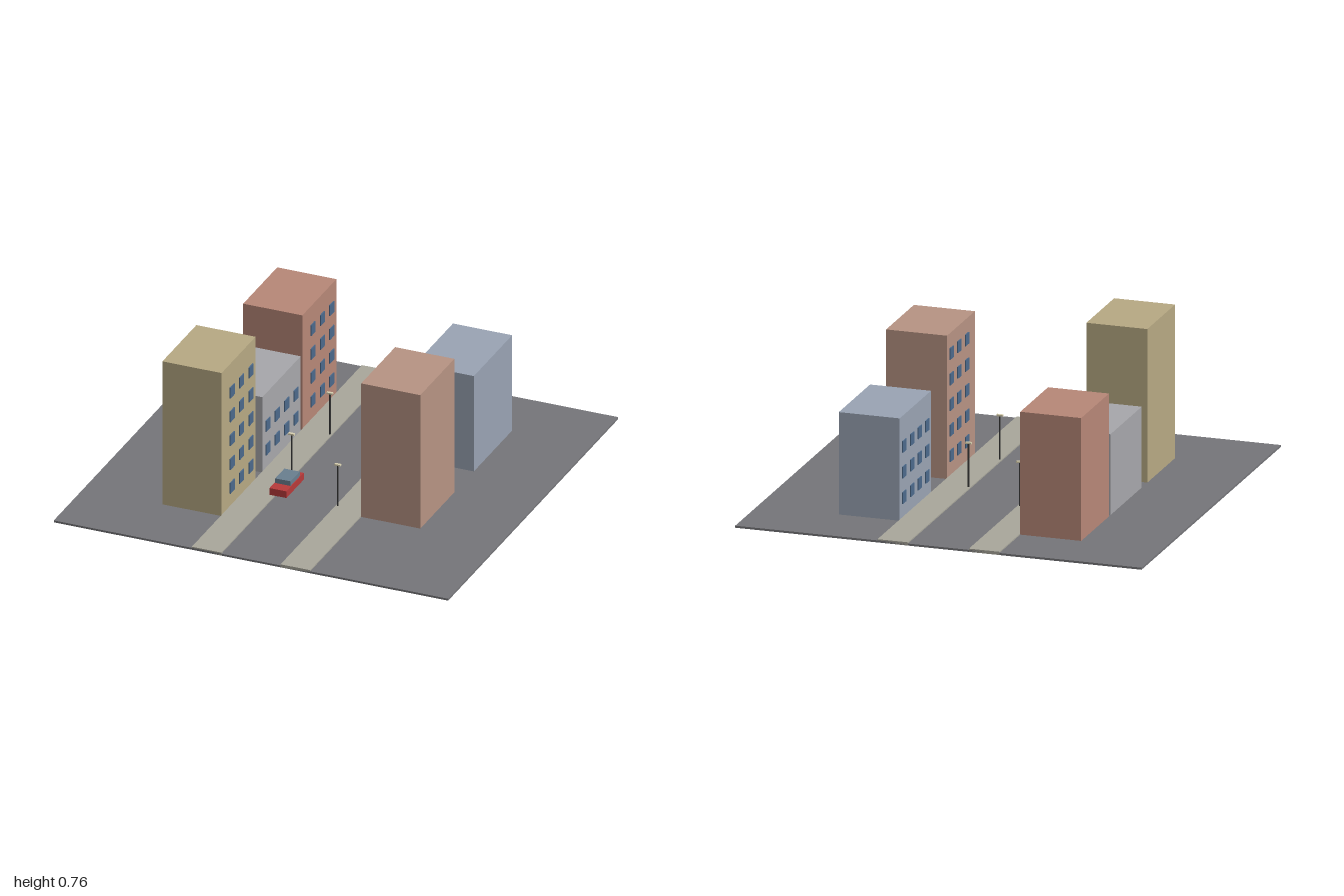
import * as THREE from 'three';

const mat = (color) => new THREE.MeshStandardMaterial({ color });
const windowMat = mat(0x4c6a8c);
const lampMat = mat(0x333333);

// Box given by its size, centre in x and z, and bottom height
function block(name, [w, h, d], [x, bottom, z], material) {
  const mesh = new THREE.Mesh(new THREE.BoxGeometry(w, h, d), material);
  mesh.position.set(x, bottom + h / 2, z);
  mesh.name = name;
  return mesh;
}

const GROUND = 0.01;

// Plain tower with a grid of windows on the side facing the street
function building(side, z0, z1, height, color) {
  const group = new THREE.Group();
  group.name = 'building';
  group.add(block('walls', [0.3, height, z1 - z0], [side * 0.45, GROUND, (z0 + z1) / 2], mat(color)));
  for (let y = 0.11; y < height - 0.08; y += 0.125) {
    for (let z = z0 + 0.06; z < z1 - 0.04; z += 0.11) {
      group.add(block('window', [0.01, 0.056, 0.05], [side * 0.3, y - 0.028, z], windowMat));
    }
  }
  return group;
}

// Thin pole with a flat head
function streetLamp(x, z) {
  const group = new THREE.Group();
  group.name = 'streetLamp';
  const pole = new THREE.Mesh(new THREE.CylinderGeometry(0.004, 0.004, 0.22, 8), lampMat);
  pole.position.set(x, GROUND + 0.11, z);
  pole.name = 'lampPole';
  group.add(pole, block('lampHead', [0.03, 0.008, 0.014], [x, 0.227, z], mat(0xd8d0b0)));
  return group;
}

export function createModel() {
  const model = new THREE.Group();
  model.name = 'cityStreet';

  // Ground and the two pavements
  model.add(block('ground', [2, GROUND, 2], [0, 0, 0], mat(0x76767a)));
  for (const side of [-1, 1]) {
    model.add(block('pavement', [0.15, 0.016, 2], [side * 0.225, 0, 0], mat(0xaaa89c)));
  }

  // Buildings: side, back z, front z, height, colour
  const buildings = [
    [-1, 0.25, 0.65, 0.75, 0xb8aa84],
    [-1, -0.28, 0.17, 0.395, 0xa8a8ac],
    [-1, -0.7, -0.3, 0.6, 0xb88878],
    [1, 0, 0.4, 0.7, 0xb89484],
    [1, -0.68, -0.23, 0.5, 0x9aa4b4],
  ];
  for (const b of buildings) model.add(building(...b));

  // Street lamps along both kerbs
  for (const [x, z] of [[-0.16, -0.3], [-0.16, 0.15], [0.16, -0.1], [0.16, 0.35]]) {
    model.add(streetLamp(x, z));
  }

  // Parked car
  const car = new THREE.Group();
  car.name = 'car';
  car.add(
    block('carBody', [0.086, 0.035, 0.204], [-0.133, 0.016, 0.272], mat(0xb83a3a)),
    block('carCabin', [0.078, 0.024, 0.108], [-0.133, 0.051, 0.262], mat(0x6a7f90)),
  );
  model.add(car);

  return model;
}
